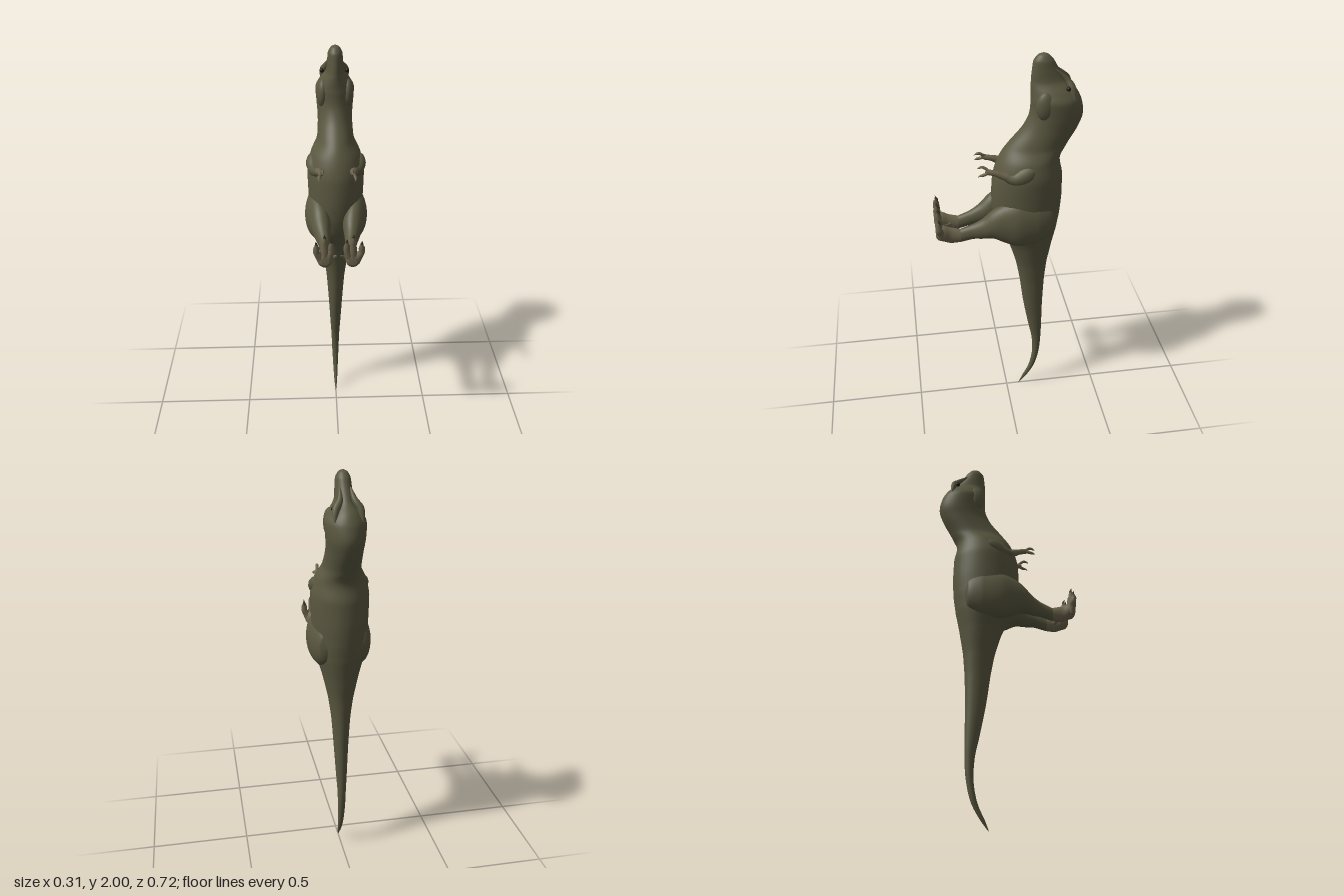
import * as THREE from 'three';

const skin = new THREE.MeshStandardMaterial({ color: 0x5a5840 });
const paleSkin = new THREE.MeshStandardMaterial({ color: 0x6e664e });
const clawMat = new THREE.MeshStandardMaterial({ color: 0x4a4234 });
const eyeMat = new THREE.MeshStandardMaterial({ color: 0x1c1a12 });
const V = (a) => new THREE.Vector3(...a);

// Smooth skin over elliptical sections [cx, cy, cz, rx, r2] stacked along y or z
function loft(sections, axis, rings, sides = 40) {
  const mid = new THREE.CatmullRomCurve3(sections.map((s) => V([s[0], s[1], s[2]])));
  const rad = new THREE.CatmullRomCurve3(sections.map((s) => V([s[3], s[4], 0])));
  const pos = [], index = [];
  for (let i = 0; i <= rings; i++) {
    const c = mid.getPoint(i / rings), r = rad.getPoint(i / rings);
    for (let j = 0; j < sides; j++) {
      const a = (j / sides) * Math.PI * 2;
      const x = c.x + Math.cos(a) * Math.max(r.x, 0), h = Math.sin(a) * Math.max(r.y, 0);
      if (axis === 'y') pos.push(x, c.y, c.z + h);
      else pos.push(x, c.y - h, c.z);
      if (i < rings) {
        const k = (j + 1) % sides, p = i * sides, q = p + sides;
        index.push(p + j, q + j, p + k, q + j, q + k, p + k);
      }
    }
  }
  const g = new THREE.BufferGeometry();
  g.setAttribute('position', new THREE.Float32BufferAttribute(pos, 3));
  g.setIndex(index);
  g.computeVertexNormals();
  return g;
}

// Tapered tube through points [x, y, z, radius]
function limb(points, n = 18, sides = 12) {
  const curve = new THREE.CatmullRomCurve3(points.map((p) => V(p.slice(0, 3))));
  const rad = new THREE.CatmullRomCurve3(points.map((p, i) => V([p[3], i * 0.1, 0])));
  const g = new THREE.TubeGeometry(curve, n, 1, sides);
  const pos = g.attributes.position, v = new THREE.Vector3();
  for (let i = 0; i <= n; i++) {
    const c = curve.getPointAt(i / n);
    const r = Math.max(rad.getPoint(curve.getUtoTmapping(i / n)).x, 0.0003);
    for (let j = 0; j <= sides; j++) {
      const k = i * (sides + 1) + j;
      v.fromBufferAttribute(pos, k).sub(c).multiplyScalar(r).add(c);
      pos.setXYZ(k, v.x, v.y, v.z);
    }
  }
  return g;
}

function add(parent, name, geometry, material) {
  const m = new THREE.Mesh(geometry, material);
  m.name = name;
  parent.add(m);
  return m;
}

// Body profile from tail tip to snout: [y, front z, back z, half width]
const BODY = [
  [0, -0.07, -0.072, 0.001], [0.05, -0.09, -0.112, 0.008], [0.127, -0.126, -0.156, 0.013],
  [0.23, -0.146, -0.182, 0.018], [0.34, -0.142, -0.191, 0.022], [0.44, -0.122, -0.193, 0.028],
  [0.6, -0.092, -0.194, 0.037], [0.76, -0.07, -0.2, 0.048], [0.87, -0.05, -0.21, 0.063],
  [1.0, -0.01, -0.232, 0.092], [1.1, 0.045, -0.253, 0.12], [1.19, 0.07, -0.266, 0.132],
  [1.29, 0.077, -0.272, 0.138], [1.4, 0.07, -0.27, 0.141], [1.49, 0.04, -0.256, 0.122],
  [1.555, 0, -0.288, 0.09], [1.645, -0.075, -0.338, 0.085], [1.71, -0.105, -0.358, 0.09],
  [1.78, -0.11, -0.345, 0.094], [1.825, -0.11, -0.32, 0.073], [1.87, -0.11, -0.275, 0.044],
  [1.925, -0.114, -0.236, 0.038], [1.965, -0.12, -0.213, 0.034], [1.99, -0.14, -0.19, 0.02],
  [2.0, -0.164, -0.166, 0.001],
];

// Thigh to sole, running forward: [x, y, z, half width, half height]
const LEG = [
  [0.08, 1.17, -0.225, 0.001, 0.001], [0.085, 1.17, -0.21, 0.035, 0.07],
  [0.09, 1.17, -0.14, 0.058, 0.12], [0.094, 1.17, -0.05, 0.063, 0.128],
  [0.087, 1.172, 0.03, 0.055, 0.103], [0.079, 1.168, 0.08, 0.049, 0.077],
  [0.072, 1.143, 0.13, 0.037, 0.054], [0.065, 1.127, 0.18, 0.028, 0.04],
  [0.062, 1.108, 0.24, 0.023, 0.036], [0.062, 1.115, 0.29, 0.023, 0.044],
  [0.064, 1.13, 0.325, 0.032, 0.044], [0.065, 1.135, 0.35, 0.034, 0.038],
  [0.065, 1.135, 0.361, 0.02, 0.022], [0.065, 1.135, 0.362, 0.001, 0.001],
];

export function createModel() {
  const root = new THREE.Group();
  root.name = 'dinosaur';

  add(root, 'body', loft(BODY.map(([y, f, b, w]) => [0, y, (f + b) / 2, w, (f - b) / 2]), 'y', 180), skin);

  for (const s of [1, -1]) {
    const side = s > 0 ? 'left' : 'right';
    const m = (pts) => pts.map(([x, ...rest]) => [x * s, ...rest]);

    // Brow ridge, eye and nasal ridge
    add(root, side + 'Brow', limb(m([[0.024, 1.93, -0.215, 0.004], [0.034, 1.88, -0.268, 0.014],
      [0.055, 1.845, -0.29, 0.017], [0.064, 1.79, -0.305, 0.004]])), skin);
    add(root, side + 'Eye', new THREE.SphereGeometry(0.011, 16, 12), eyeMat)
      .position.set(0.062 * s, 1.846, -0.272);

    // Cheek swelling behind the jaw
    const cheek = add(root, side + 'Cheek', new THREE.SphereGeometry(1, 20, 14), skin);
    cheek.scale.set(0.03, 0.07, 0.045);
    cheek.position.set(0.06 * s, 1.765, -0.17);

    // Hind leg with pale lower part
    const leg = new THREE.Group();
    leg.name = side + 'Leg';
    root.add(leg);
    add(leg, 'thigh', loft(m(LEG.slice(0, 9)), 'z', 60), skin);
    add(leg, 'foot', loft(m(LEG.slice(8)), 'z', 40), paleSkin);

    // Three long toes pointing up, each ending in a claw
    for (const [x, top] of [[0.036, 1.225], [0.066, 1.25], [0.105, 1.215]]) {
      const bx = 0.065 + (x - 0.065) * 0.4;
      add(leg, 'toe', limb(m([[bx, 1.115, 0.338, 0.016], [(bx + x) / 2, 1.155, 0.343, 0.019],
        [x, top - 0.04, 0.345, 0.015], [x, top - 0.015, 0.347, 0.014], [x, top, 0.346, 0.006]])), paleSkin);
      add(leg, 'claw', limb(m([[x, top - 0.022, 0.346, 0.009], [x, top, 0.343, 0.007],
        [x + 0.002, top + 0.02, 0.35, 0.0005]]), 10, 8), clawMat);
    }
    // Small inner toe
    add(leg, 'innerToe', limb(m([[0.05, 1.11, 0.28, 0.012], [0.028, 1.115, 0.288, 0.009],
      [0.014, 1.125, 0.296, 0.006], [0.011, 1.135, 0.315, 0.0005]])), paleSkin);

    // Small arm: shoulder, elbow, forearm and two clawed fingers
    const arm = new THREE.Group();
    arm.name = side + 'Arm';
    root.add(arm);
    add(arm, 'upperArm', limb(m([[0.09, 1.47, -0.13, 0.02], [0.105, 1.45, -0.08, 0.042],
      [0.1, 1.425, -0.03, 0.034], [0.088, 1.428, 0.01, 0.022], [0.083, 1.44, 0.03, 0.004]])), skin);
    add(arm, 'forearm', limb(m([[0.09, 1.425, -0.02, 0.02], [0.083, 1.435, 0.02, 0.021],
      [0.079, 1.453, 0.07, 0.014], [0.078, 1.46, 0.1, 0.013], [0.078, 1.462, 0.115, 0.003]])), paleSkin);
    for (const [x, y, z] of [[0.07, 1.483, 0.152], [0.086, 1.448, 0.15]]) {
      add(arm, 'finger', limb(m([[0.078, 1.46, 0.09, 0.007], [x, y + 0.002, 0.125, 0.0075],
        [x, y, z - 0.012, 0.005], [x, y - 0.006, z, 0.0005]]), 12, 8), paleSkin);
    }
  }
  return root;
}
